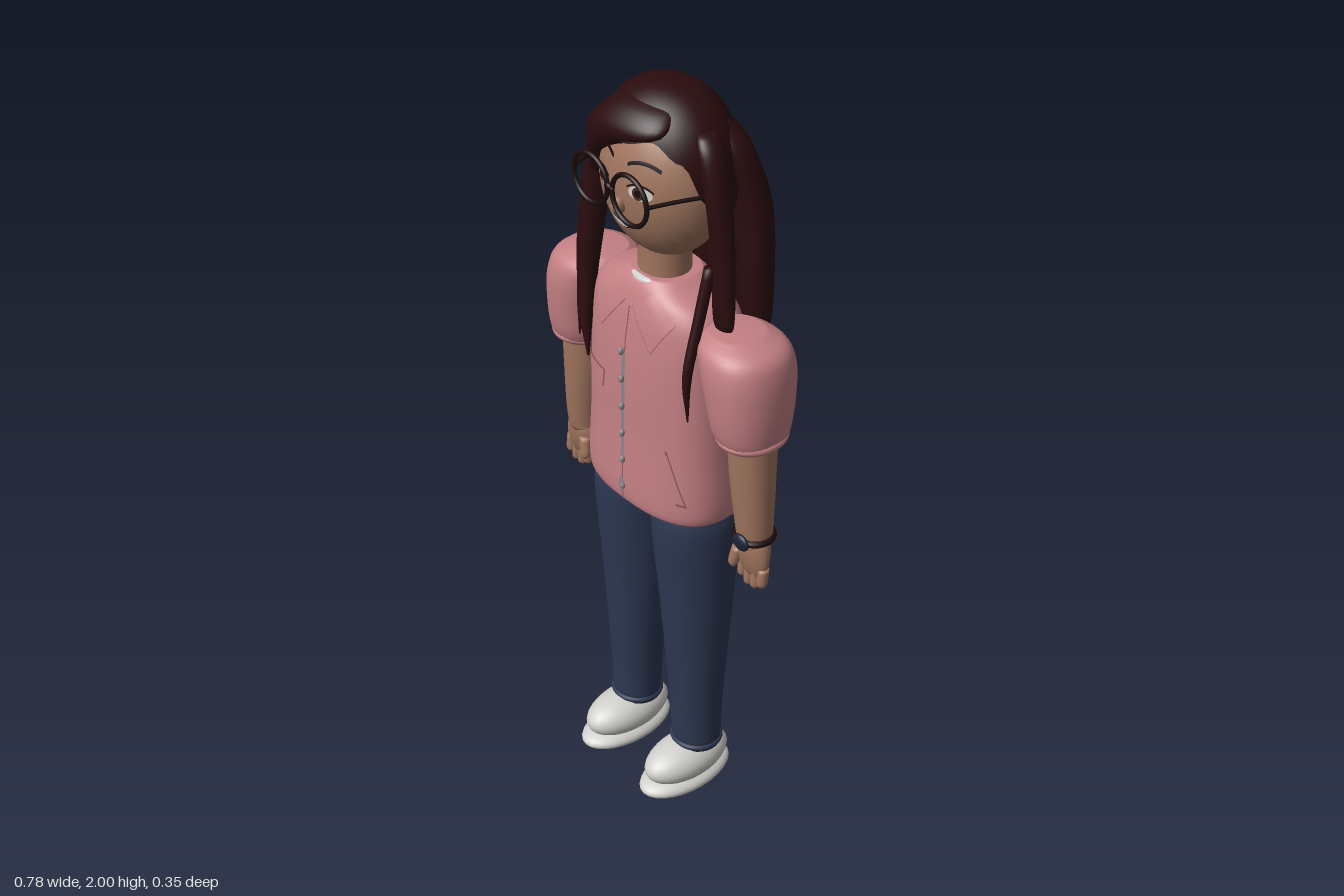
import * as THREE from 'three';

const paint = (name, color, side = THREE.FrontSide) => {
  const m = new THREE.MeshStandardMaterial({ color, side });
  m.name = name;
  return m;
};

// Stack of superellipse rings; each key is [y, centreX, centreZ, radiusX, radiusZ], from low to high.
function loft(keys, { power = 2, around = 28, steps = 5 } = {}) {
  const centres = new THREE.CatmullRomCurve3(keys.map(k => new THREE.Vector3(k[1], k[0], k[2])), false, 'catmullrom');
  const radii = new THREE.CatmullRomCurve3(keys.map(k => new THREE.Vector3(k[3], 0, k[4])), false, 'catmullrom');
  const rows = (keys.length - 1) * steps, pos = [], idx = [];
  const bend = v => Math.sign(v) * Math.abs(v) ** (2 / power);
  for (let r = -1; r <= rows + 1; r++) {
    const t = Math.min(Math.max(r / rows, 0), 1), c = centres.getPoint(t), q = radii.getPoint(t);
    const k = r < 0 || r > rows ? 0.001 : 1; // closes both ends
    for (let i = 0; i < around; i++) {
      const a = i / around * Math.PI * 2;
      pos.push(c.x + bend(Math.cos(a)) * Math.max(q.x, 0.001) * k, c.y, c.z + bend(Math.sin(a)) * Math.max(q.z, 0.001) * k);
    }
  }
  for (let r = 0; r < rows + 2; r++) for (let i = 0; i < around; i++) {
    const a = r * around + i, b = r * around + (i + 1) % around;
    idx.push(a, a + around, b, b, a + around, b + around);
  }
  const g = new THREE.BufferGeometry();
  g.setAttribute('position', new THREE.Float32BufferAttribute(pos, 3));
  g.setIndex(idx);
  g.computeVertexNormals();
  return g;
}

const ball = (x, y, z, rx, ry, rz) => new THREE.SphereGeometry(1, 28, 20).scale(rx, ry, rz).translate(x, y, z);

// Flat four-cornered patch, subdivided so it can follow a curved surface (corners: tl, tr, bl, br).
function quad([tl, tr, bl, br]) {
  const g = new THREE.PlaneGeometry(1, 1, 6, 6), p = g.attributes.position;
  for (let i = 0; i < p.count; i++) {
    const u = p.getX(i) + 0.5, v = 0.5 - p.getY(i);
    const mix = k => (tl[k] * (1 - u) + tr[k] * u) * (1 - v) + (bl[k] * (1 - u) + br[k] * u) * v;
    p.setXY(i, mix(0), mix(1));
  }
  return g;
}
const disc = (x, y, rx, ry) => new THREE.CircleGeometry(1, 24).scale(rx, ry, 1).translate(x, y, 0);

// Lays a flat shape on the front of a mesh.
function drape(geometry, target, lift) {
  const p = geometry.attributes.position, ray = new THREE.Raycaster(), down = new THREE.Vector3(0, 0, -1);
  for (let i = 0; i < p.count; i++) {
    ray.set(new THREE.Vector3(p.getX(i), p.getY(i), 1), down);
    const hit = ray.intersectObject(target)[0];
    p.setZ(i, (hit ? hit.point.z : 0.03) + lift);
  }
  geometry.computeVertexNormals();
  return geometry;
}

// Hair cap from the crown down to a hairline that varies with the angle around the head.
function hairCap() {
  const line = [[-180, 1.62], [-100, 1.64], [-72, 1.7], [-55, 1.77], [-30, 1.86], [0, 1.89], [30, 1.91], [55, 1.87], [75, 1.77], [100, 1.66], [180, 1.62]];
  const hairline = d => {
    let i = 1;
    while (i < line.length - 1 && line[i][0] < d) i++;
    const [a, ya] = line[i - 1], [b, yb] = line[i];
    return ya + (yb - ya) * THREE.MathUtils.smoothstep(d, a, b);
  };
  const g = new THREE.PlaneGeometry(1, 1, 72, 20), p = g.attributes.position;
  for (let i = 0; i < p.count; i++) {
    const a = p.getX(i) * 360, s = 0.5 - p.getY(i), rad = a * Math.PI / 180;
    const y = 2 - (2 - hairline(a)) * s * s, h = (y - 1.8) / 0.2;
    const r = h > 0 ? Math.max(0, 1 - h ** 2.2) ** (1 / 2.2) : 1 - 0.35 * h * h;
    p.setXYZ(i, Math.sin(rad) * 0.18 * r, y, -0.012 + Math.cos(rad) * 0.15 * r);
  }
  g.computeVertexNormals();
  return g;
}

export function createModel() {
  const root = new THREE.Group();
  root.name = 'standingPerson';
  const both = THREE.DoubleSide;
  const hair = paint('dark hair', 0x2a0c0e, both), skin = paint('skin', 0xa0755e), pink = paint('pink cloth', 0xc48084, both);
  const denim = paint('denim', 0x2d3852), white = paint('white', 0xd0cfcb, both), dark = paint('dark frames', 0x1c0c0c, both);
  const metal = paint('zip metal', 0x8c8486, both), navy = paint('watch face', 0x1b2238), brown = paint('iris brown', 0x4a2a1c, both);
  const seam = paint('seam pink', 0x8f585c, both);
  const add = (name, geometry, material) => {
    const m = new THREE.Mesh(geometry, material);
    m.name = name;
    root.add(m);
    return m;
  };
  const tube = (points, r, n = 16) =>
    new THREE.TubeGeometry(new THREE.CatmullRomCurve3(points.map(p => new THREE.Vector3(...p))), n, r, 8);
  const ring = (x, y, z, rx, rz, r) => new THREE.TorusGeometry(1, r / rx, 10, 36).rotateX(Math.PI / 2).scale(rx, rx, rz).translate(x, y, z);

  // Jacket body, neck and head
  const jacket = add('jacket', loft([
    [0.9, 0, -0.005, 0.2, 0.12], [0.93, 0, -0.005, 0.224, 0.138], [1.1, 0, -0.008, 0.218, 0.136], [1.3, 0, -0.01, 0.212, 0.134],
    [1.42, 0, -0.01, 0.208, 0.122], [1.475, 0, -0.008, 0.175, 0.108], [1.51, 0, -0.005, 0.11, 0.092], [1.53, 0, -0.005, 0.078, 0.075]],
  { power: 2.5, around: 48 }), pink);
  add('hips', ball(0, 0.925, -0.006, 0.19, 0.078, 0.11), denim);
  add('neck', loft([[1.46, 0, 0, 0.068, 0.066], [1.55, 0, 0, 0.065, 0.062], [1.64, 0, 0, 0.068, 0.064]]), skin);
  add('undershirt', ring(0, 1.518, 0, 0.069, 0.07, 0.012), white);
  const head = add('head', ball(0, 1.77, 0, 0.169, 0.195, 0.134), skin);
  add('nose', ball(0, 1.735, 0.135, 0.016, 0.022, 0.022), skin);

  for (const s of [1, -1]) {
    // Legs and shoes
    add('trouserLeg', loft([
      [0.13, s * 0.122, -0.005, 0.066, 0.062], [0.3, s * 0.12, -0.005, 0.072, 0.07], [0.6, s * 0.115, -0.007, 0.094, 0.093],
      [0.83, s * 0.111, -0.007, 0.107, 0.114], [0.9, s * 0.108, -0.007, 0.102, 0.112], [0.93, s * 0.108, -0.007, 0.085, 0.095]]), denim);
    add('trouserCuff', ring(s * 0.122, 0.143, -0.005, 0.063, 0.06, 0.009), denim);
    add('shoeSole', ball(s * 0.122, 0.034, 0.035, 0.077, 0.034, 0.142), white);
    add('shoeUpper', ball(s * 0.122, 0.085, 0.03, 0.072, 0.058, 0.13), white);

    // Puffed sleeve, arm and hand
    add('sleeve', loft([
      [1.2, s * 0.306, -0.006, 0.074, 0.082], [1.24, s * 0.301, -0.007, 0.085, 0.098], [1.31, s * 0.295, -0.008, 0.094, 0.108],
      [1.39, s * 0.281, -0.01, 0.102, 0.113], [1.44, s * 0.263, -0.01, 0.1, 0.1], [1.468, s * 0.245, -0.01, 0.06, 0.06]], { power: 2.2 }), pink);
    add('sleeveCuff', ring(s * 0.306, 1.212, -0.006, 0.07, 0.078, 0.012), pink);
    add('arm', loft([
      [0.9, s * 0.324, -0.005, 0.042, 0.038], [0.96, s * 0.323, -0.005, 0.047, 0.046], [1.1, s * 0.313, -0.005, 0.056, 0.056],
      [1.25, s * 0.308, -0.005, 0.06, 0.062]]), skin);
    add('palm', loft([
      [0.825, s * 0.332, 0, 0.036, 0.018], [0.86, s * 0.328, 0, 0.049, 0.028], [0.9, s * 0.325, -0.003, 0.048, 0.036],
      [0.935, s * 0.324, -0.005, 0.036, 0.032]]), skin);
    for (let i = 0; i < 4; i++) {
      const x = s * (0.299 + i * 0.023), low = [0.795, 0.782, 0.784, 0.797][i];
      add('finger', loft([[low, x, 0.006, 0.006, 0.006], [low + 0.012, x, 0.006, 0.013, 0.014], [0.85, x, 0.002, 0.013, 0.015]], { around: 12 }), skin);
    }
    add('thumb', loft([[0.825, s * 0.287, 0.026, 0.006, 0.006], [0.84, s * 0.286, 0.025, 0.014, 0.013], [0.885, s * 0.295, 0.018, 0.016, 0.016]], { around: 12 }), skin);

    // Collar flap with seam edge
    const flap = [[0.012, 1.475], [0.065, 1.512], [0.088, 1.375], [0.14, 1.465]].map(([x, y]) => [s * x, y]);
    add('collarFlap', drape(quad(flap), jacket, 0.009), pink);
    const corner = [0, 2, 3].map(i => flap[i]);
    for (let i = 0; i < 2; i++) {
      const [a, b] = [corner[i], corner[i + 1]];
      add('collarSeam', drape(quad([a, b, [a[0], a[1] - 0.004], [b[0], b[1] - 0.004]]), jacket, 0.008), seam);
    }

    // Face
    add('ear', ball(s * 0.165, 1.75, -0.005, 0.018, 0.032, 0.022), skin);
    add('eyeWhite', drape(disc(s * 0.064, 1.787, 0.03, 0.017), head, 0.005), white);
    add('iris', drape(disc(s * 0.062, 1.788, 0.015, 0.016), head, 0.008), brown);
    add('pupil', drape(disc(s * 0.062, 1.788, 0.008, 0.009), head, 0.01), dark);
    for (const [name, y, w, bow, t] of [['upperLash', 1.797, 0.034, 0.012, 0.005], ['eyebrow', 1.845, 0.04, 0.012, 0.009]]) {
      const g = quad([[-w, y + t], [w, y + t], [-w, y], [w, y]]), p = g.attributes.position;
      for (let i = 0; i < p.count; i++) p.setXY(i, p.getX(i) + s * 0.064, p.getY(i) + bow * (1 - (p.getX(i) / w) ** 2) - 0.003);
      add(name, drape(g, head, 0.007), dark);
    }

    // Glasses
    add('glassesRim', new THREE.TorusGeometry(0.06, 0.006, 8, 40).translate(s * 0.068, 1.785, 0.16), dark);
    add('glassesTemple', tube([[s * 0.128, 1.792, 0.16], [s * 0.15, 1.792, 0.09], [s * 0.174, 1.788, 0.01]], 0.005), dark);
  }
  add('glassesBridge', tube([[-0.012, 1.79, 0.16], [0, 1.796, 0.164], [0.012, 1.79, 0.16]], 0.006), dark);

  // Smile
  for (const [name, w, t, lift, m] of [['lips', 0.046, 0.011, 0.004, brown], ['teeth', 0.038, 0.007, 0.006, white]]) {
    const g = quad([[-w, t], [w, t], [-w, -t], [w, -t]]), p = g.attributes.position;
    for (let i = 0; i < p.count; i++) {
      const u = p.getX(i) / w;
      p.setY(i, 1.685 + p.getY(i) * (1 - 0.85 * u * u) + 0.014 * u * u);
    }
    add(name, drape(g, head, lift), m);
  }

  // Zip, studs and pockets
  const strip = (name, x, top, low, w, lift, m) =>
    add(name, drape(quad([[x - w, top], [x + w, top], [x - w, low], [x + w, low]]), jacket, lift), m);
  strip('frontSeam', 0, 1.46, 0.915, 0.002, 0.003, seam);
  strip('zip', 0, 1.34, 1.04, 0.006, 0.005, metal);
  for (let i = 0; i < 6; i++) add('zipStud', ball(0, 1.345 - i * 0.078, 0.135, 0.007, 0.01, 0.007), metal);
  add('zipPull', drape(disc(0, 0.962, 0.008, 0.026), jacket, 0.006), metal);
  const patch = (name, corners, rim) => {
    const cx = corners.reduce((n, c) => n + c[0], 0) / 4, cy = corners.reduce((n, c) => n + c[1], 0) / 4;
    add(name + 'Edge', drape(quad(corners), jacket, 0.003), seam);
    add(name, drape(quad(corners.map(([x, y]) => [cx + (x - cx) * rim, cy + (y - cy) * rim])), jacket, 0.006), pink);
  };
  patch('chestPocket', [[-0.16, 1.252], [-0.072, 1.252], [-0.148, 1.198], [-0.08, 1.198]], 0.93);
  patch('sidePocket', [[0.132, 1.12], [0.138, 1.118], [0.165, 0.972], [0.188, 0.968]], 0.88);

  // Wristwatch
  add('watchStrap', ring(0.324, 0.93, -0.005, 0.046, 0.045, 0.009), dark);
  add('watchFace', ball(0.33, 0.93, 0.044, 0.026, 0.022, 0.01), navy);

  // Hair: cap, swept fringe, side locks and a row of back locks
  add('hairCap', hairCap(), hair);
  add('fringe', loft([
    [1.72, -0.165, 0.045, 0.015, 0.03], [1.8, -0.142, 0.07, 0.03, 0.035], [1.87, -0.085, 0.098, 0.065, 0.03],
    [1.92, -0.015, 0.09, 0.105, 0.043], [1.96, 0, 0.055, 0.085, 0.045], [1.98, 0, 0.02, 0.04, 0.03]]), hair);
  add('rightLock', loft([
    [1.24, -0.162, 0.105, 0.003, 0.003], [1.34, -0.183, 0.092, 0.017, 0.016], [1.48, -0.193, 0.075, 0.029, 0.026],
    [1.62, -0.186, 0.062, 0.034, 0.034], [1.78, -0.168, 0.045, 0.03, 0.04], [1.9, -0.125, 0.03, 0.03, 0.045]]), hair);
  add('rightLockTip', loft([[1.28, -0.2, 0.1, 0.002, 0.002], [1.4, -0.205, 0.085, 0.012, 0.014], [1.55, -0.2, 0.07, 0.015, 0.02]]), hair);
  add('leftLock', loft([
    [1.455, 0.222, 0.012, 0.022, 0.012], [1.5, 0.22, 0.012, 0.031, 0.02], [1.65, 0.212, 0.01, 0.03, 0.026],
    [1.8, 0.194, 0.01, 0.027, 0.034], [1.89, 0.17, 0.01, 0.027, 0.034], [1.93, 0.145, 0.005, 0.02, 0.025]]), hair);
  add('leftLockTip', loft([[1.24, 0.205, 0.105, 0.002, 0.002], [1.36, 0.197, 0.1, 0.011, 0.012], [1.5, 0.192, 0.06, 0.013, 0.015], [1.62, 0.192, 0.03, 0.014, 0.015]]), hair);
  for (let i = 0; i < 11; i++) {
    const u = i / 5 - 1, x = u * 0.198, low = 1.33 + 0.012 * (i % 3) + 0.03 * u * u, z = -0.138 + 0.02 * u ** 4;
    add('backLock', loft([
      [low, x * 0.97, z, 0.008, 0.01], [low + 0.04, x, z, 0.026, 0.027], [1.55, x, z, 0.028, 0.037],
      [1.72, x * 0.93, z, 0.028, 0.038], [1.86, x * 0.78, z + 0.012 + 0.02 * u * u, 0.026, 0.036], [1.93, x * 0.55, z + 0.055, 0.015, 0.02]],
    { around: 16 }), hair);
  }
  return root;
}
